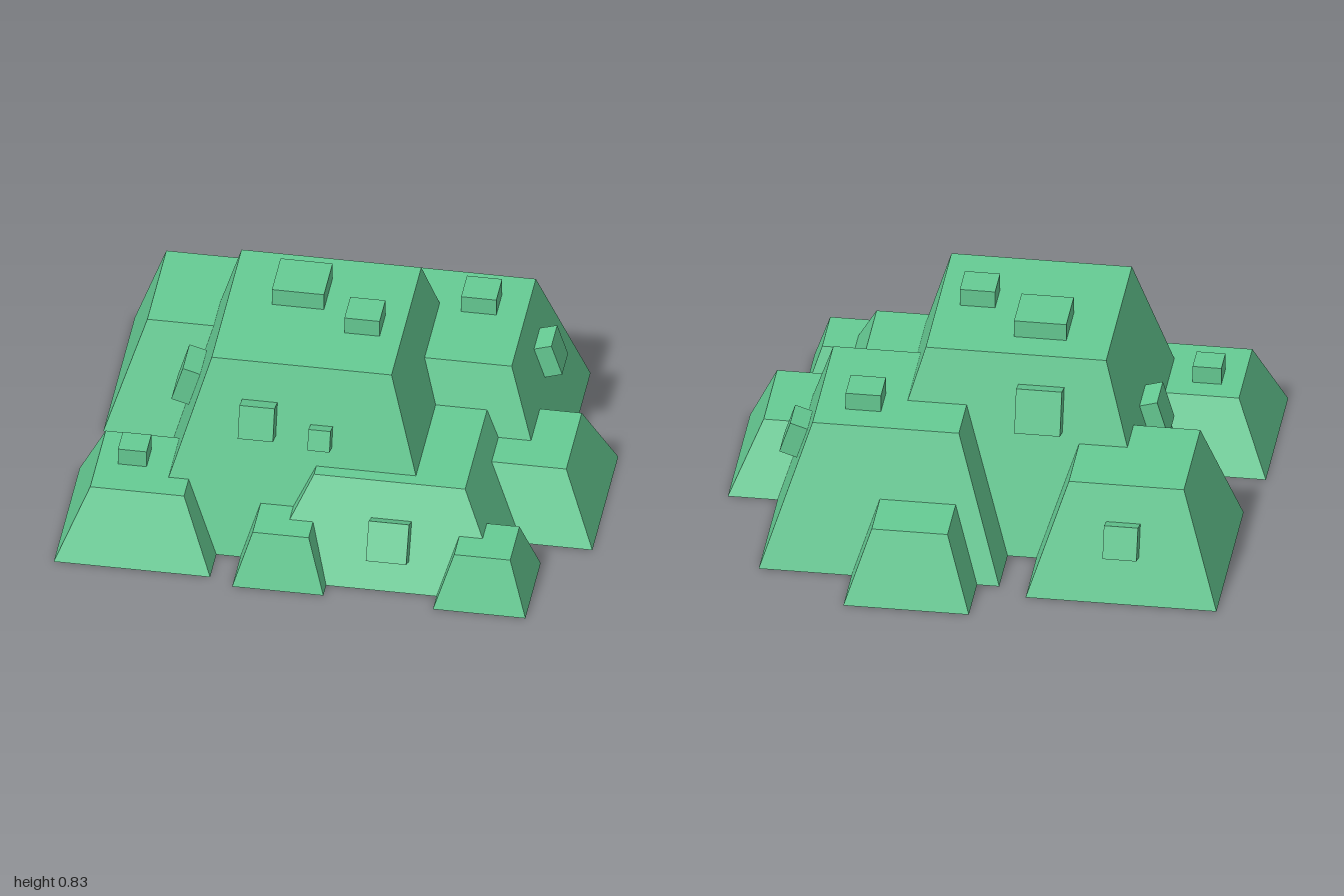
import * as THREE from 'three';

const material = new THREE.MeshStandardMaterial({ color: 0x66cc94, flatShading: true });

// Square frustum standing on y = 0: centre x, z, base width, top width, height
function makeBlock(name, { x, z, base, top, h }) {
  const geo = new THREE.BoxGeometry(base, h, base);
  const p = geo.attributes.position;
  for (let i = 0; i < p.count; i++) {
    if (p.getY(i) > 0) {
      p.setX(i, p.getX(i) * top / base);
      p.setZ(i, p.getZ(i) * top / base);
    }
  }
  geo.translate(0, h / 2, 0);
  geo.computeVertexNormals();
  const mesh = new THREE.Mesh(geo, material);
  mesh.name = name;
  mesh.position.set(x, 0, z);
  return mesh;
}

// Square stud half sunk into the top of a block
function topStud(b, x, z, size) {
  const mesh = new THREE.Mesh(new THREE.BoxGeometry(size, 0.14, size), material);
  mesh.name = 'topStud';
  mesh.position.set(x - b.x, b.h, z - b.z);
  return mesh;
}

// Square stud half sunk into a sloped side; turn is the heading of that side about y
function sideStud(b, turn, along, y, size, out = 0.07) {
  const run = (b.base - b.top) / 2;
  const mesh = new THREE.Mesh(new THREE.BoxGeometry(size, size, out * 2), material);
  mesh.name = 'sideStud';
  mesh.position.set(along, y, b.base / 2 - run * y / b.h);
  mesh.rotation.x = -Math.atan2(run, b.h);
  const pivot = new THREE.Group();
  pivot.name = 'sideStudMount';
  pivot.rotation.y = turn;
  pivot.add(mesh);
  return pivot;
}

export function createModel() {
  const model = new THREE.Group();
  model.name = 'steppedRock';

  const blocks = {
    mainBlock: { x: -0.11, z: 0.115, base: 1.14, top: 0.69, h: 0.76 },
    backRightBlock: { x: 0.35, z: -0.22, base: 0.92, top: 0.56, h: 0.555 },
    backLeftBlock: { x: -0.585, z: -0.38, base: 0.73, top: 0.44, h: 0.44 },
    frontBlock: { x: 0.255, z: 0.335, base: 0.95, top: 0.58, h: 0.38 },
    rearBlock: { x: 0.215, z: -0.66, base: 0.48, top: 0.29, h: 0.29 },
    sideBlock: { x: 0.7, z: 0.125, base: 0.6, top: 0.36, h: 0.28 },
    frontCornerBlock: { x: -0.7, z: 0.53, base: 0.6, top: 0.36, h: 0.28 },
    smallFrontBlockA: { x: -0.133, z: 0.7, base: 0.35, top: 0.215, h: 0.215 },
    smallFrontBlockB: { x: 0.643, z: 0.715, base: 0.355, top: 0.215, h: 0.215 },
  };
  const mesh = {};
  for (const [name, b] of Object.entries(blocks)) {
    mesh[name] = makeBlock(name, b);
    model.add(mesh[name]);
  }

  // Studs on the flat tops
  const tops = [
    ['mainBlock', -0.185, -0.007, 0.2],
    ['mainBlock', 0.083, 0.158, 0.135],
    ['backRightBlock', 0.452, -0.318, 0.135],
    ['frontCornerBlock', -0.745, 0.495, 0.11],
  ];
  for (const [n, x, z, s] of tops) mesh[n].add(topStud(blocks[n], x, z, s));

  // Studs on the sloped sides
  const q = Math.PI / 2;
  const sides = [
    ['mainBlock', 0, -0.153, 0.545, 0.135],
    ['mainBlock', 0, 0.088, 0.497, 0.085, 0.055],
    ['mainBlock', -q, -0.048, 0.36, 0.155],
    ['mainBlock', 2 * q, 0.102, 0.563, 0.175],
    ['backRightBlock', q, 0.068, 0.37, 0.135],
    ['backLeftBlock', 2 * q, -0.005, 0.24, 0.13],
    ['frontBlock', 0, 0.018, 0.18, 0.155],
  ];
  for (const [n, ...rest] of sides) mesh[n].add(sideStud(blocks[n], ...rest));

  return model;
}
